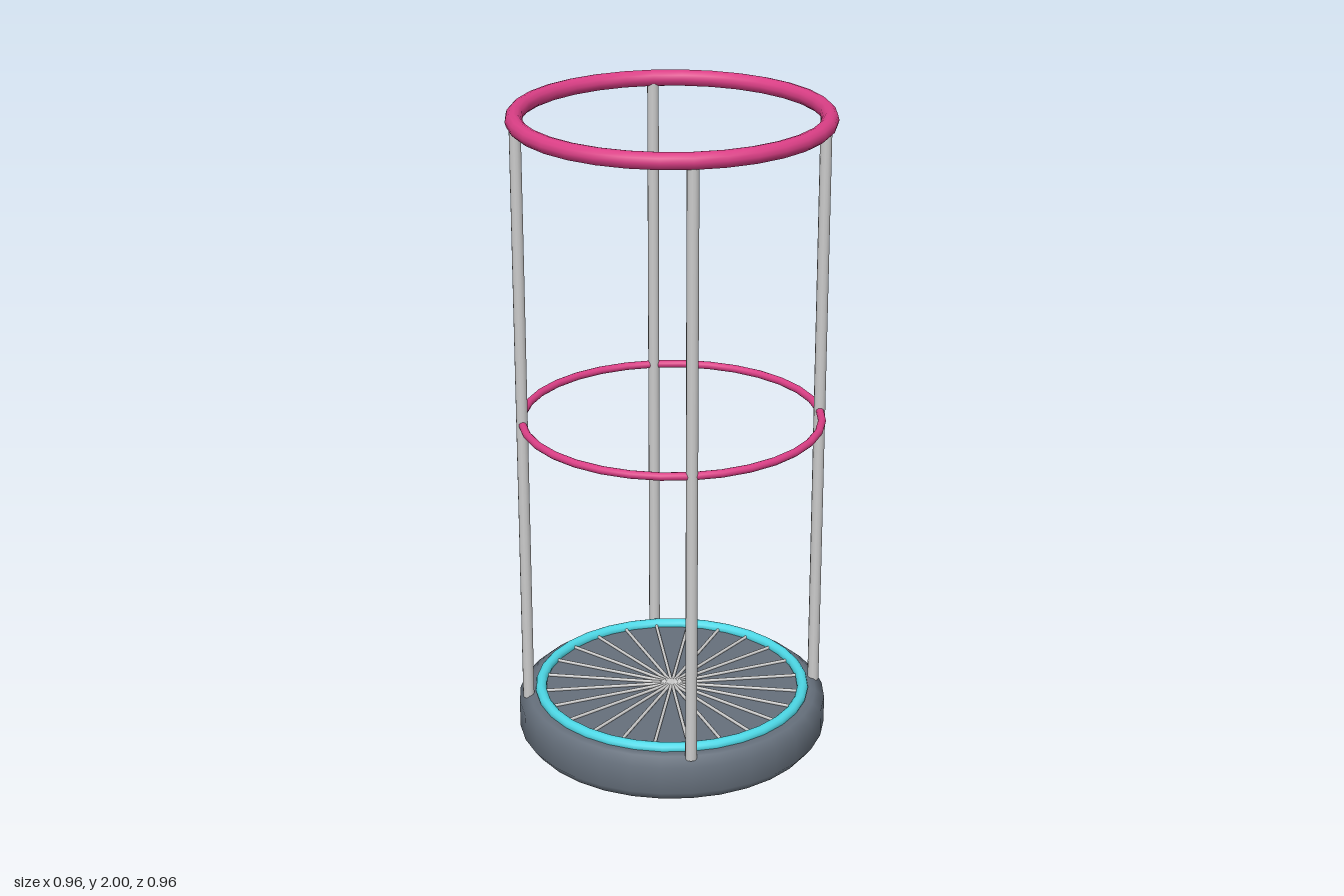
import * as THREE from 'three';

const SIDES = 32;

export function createModel() {
  const model = new THREE.Group();
  const steel = new THREE.MeshStandardMaterial({ color: 0xcccccc });
  const slate = new THREE.MeshStandardMaterial({ color: 0x66707c });
  const pink = new THREE.MeshStandardMaterial({ color: 0xdb3f86 });
  const cyan = new THREE.MeshStandardMaterial({ color: 0x4dd8e6 });

  const add = (name, geometry, material, parent = model) => {
    const mesh = new THREE.Mesh(geometry, material);
    mesh.name = name;
    parent.add(mesh);
    return mesh;
  };

  // Horizontal ring centred on the y axis
  const ring = (name, radius, tube, y, material) => {
    const geometry = new THREE.TorusGeometry(radius, tube, 12, SIDES);
    geometry.rotateX(Math.PI / 2);
    add(name, geometry, material).position.y = y;
  };

  // Round base with softened rims; the extra inner points keep the faces flat
  const profile = [
    [0, 0], [0.44, 0], [0.455, 0.002], [0.478, 0.032],
    [0.478, 0.118], [0.45, 0.142], [0.435, 0.145], [0, 0.145],
  ].map(([r, y]) => new THREE.Vector2(r, y));
  add('base', new THREE.LatheGeometry(profile, SIDES), slate);

  // Rings
  ring('floorRing', 0.41, 0.017, 0.15, cyan);
  ring('middleRing', 0.45, 0.012, 1.05, pink);
  ring('topRing', 0.453, 0.025, 1.975, pink);

  // Four upright posts on the diagonals
  const posts = new THREE.Group();
  posts.name = 'posts';
  model.add(posts);
  const postGeometry = new THREE.CylinderGeometry(0.0175, 0.0175, 1.84, 12);
  for (const x of [-0.318, 0.318]) {
    for (const z of [-0.318, 0.318]) {
      add('post', postGeometry, steel, posts).position.set(x, 1.055, z);
    }
  }

  // Floor grille: thin spokes from the centre to the floor ring
  const grille = new THREE.Group();
  grille.name = 'floorGrille';
  grille.position.y = 0.15;
  model.add(grille);
  const spokeGeometry = new THREE.CylinderGeometry(0.005, 0.005, 0.41, 8);
  spokeGeometry.rotateZ(Math.PI / 2).translate(0.205, 0, 0);
  for (let i = 0; i < 24; i++) {
    add('spoke', spokeGeometry, steel, grille).rotation.y = (i / 24) * Math.PI * 2;
  }

  return model;
}
